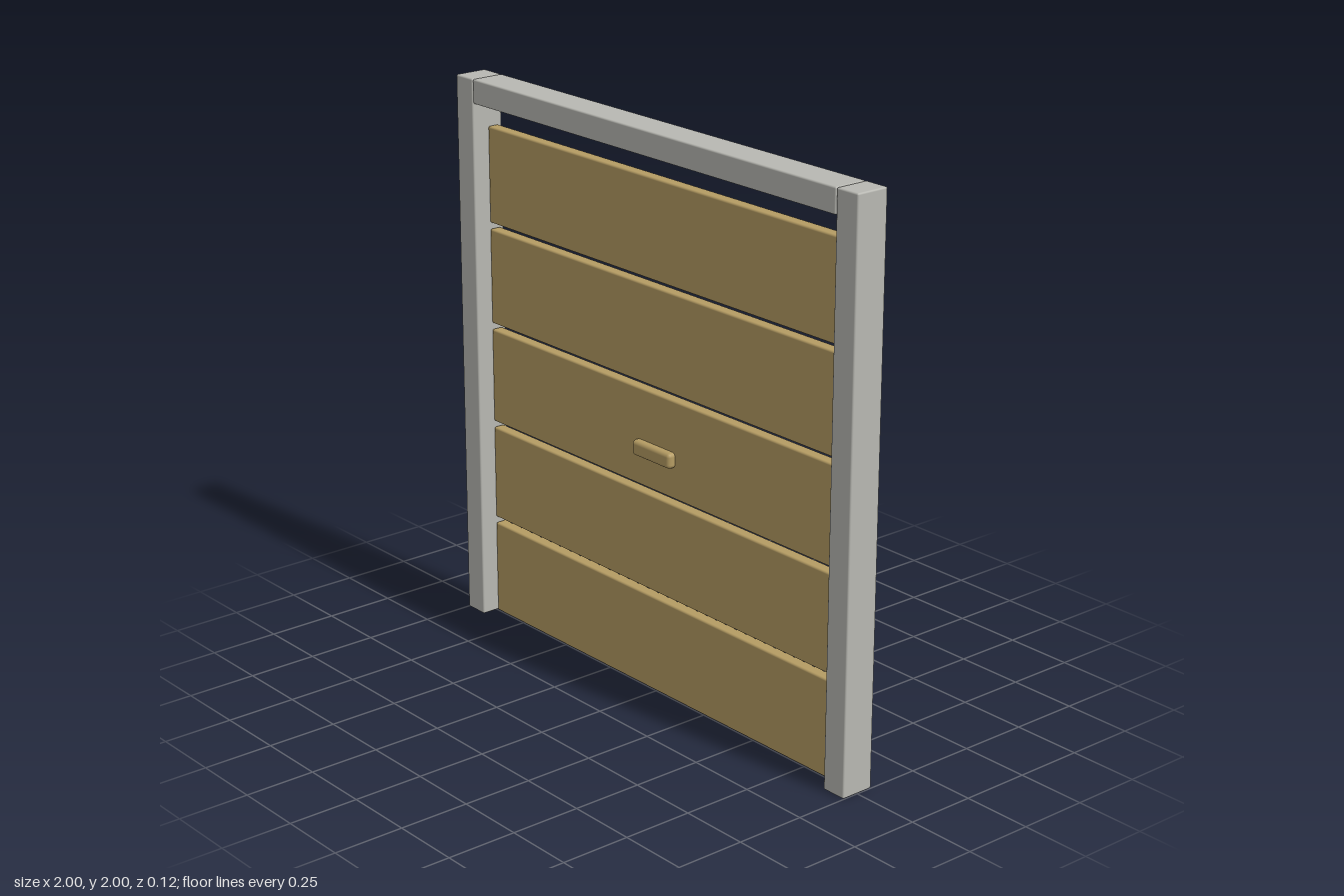
import * as THREE from 'three';
import { RoundedBoxGeometry } from 'three/addons/geometries/RoundedBoxGeometry.js';

export function createModel() {
  const metal = new THREE.MeshStandardMaterial({ color: 0xb8b8b2 });
  metal.name = 'grey metal';
  const wood = new THREE.MeshStandardMaterial({ color: 0xb59c63 });
  wood.name = 'tan wood';

  const model = new THREE.Group();
  model.name = 'slattedDoor';

  // Softly edged box given by its lower and upper corners
  const addBox = (name, material, min, max, radius) => {
    const size = max.map((v, i) => v - min[i]);
    const mesh = new THREE.Mesh(new RoundedBoxGeometry(...size, 2, radius), material);
    mesh.position.set(...max.map((v, i) => (v + min[i]) / 2));
    mesh.name = name;
    model.add(mesh);
  };

  // Frame: two posts and a top beam
  const depth = 0.0615;
  addBox('rightPost', metal, [-1, 0, -depth], [-0.907, 2, depth], 0.006);
  addBox('leftPost', metal, [0.907, 0, -depth], [1, 2, depth], 0.006);
  addBox('topBeam', metal, [-0.905, 1.913, -depth], [0.905, 2, depth], 0.006);

  // Five boards, set towards the back of the frame
  const pitch = 0.3695, height = 0.347;
  for (let i = 0; i < 5; i++) {
    const y = i * pitch;
    addBox(`board${i + 1}`, wood, [-0.905, y, -0.043], [0.905, y + height, 0], 0.007);
  }

  // Handle on the middle board
  addBox('handle', wood, [-0.098, 0.85, -0.01], [0.098, 0.905, 0.028], 0.014);

  return model;
}
